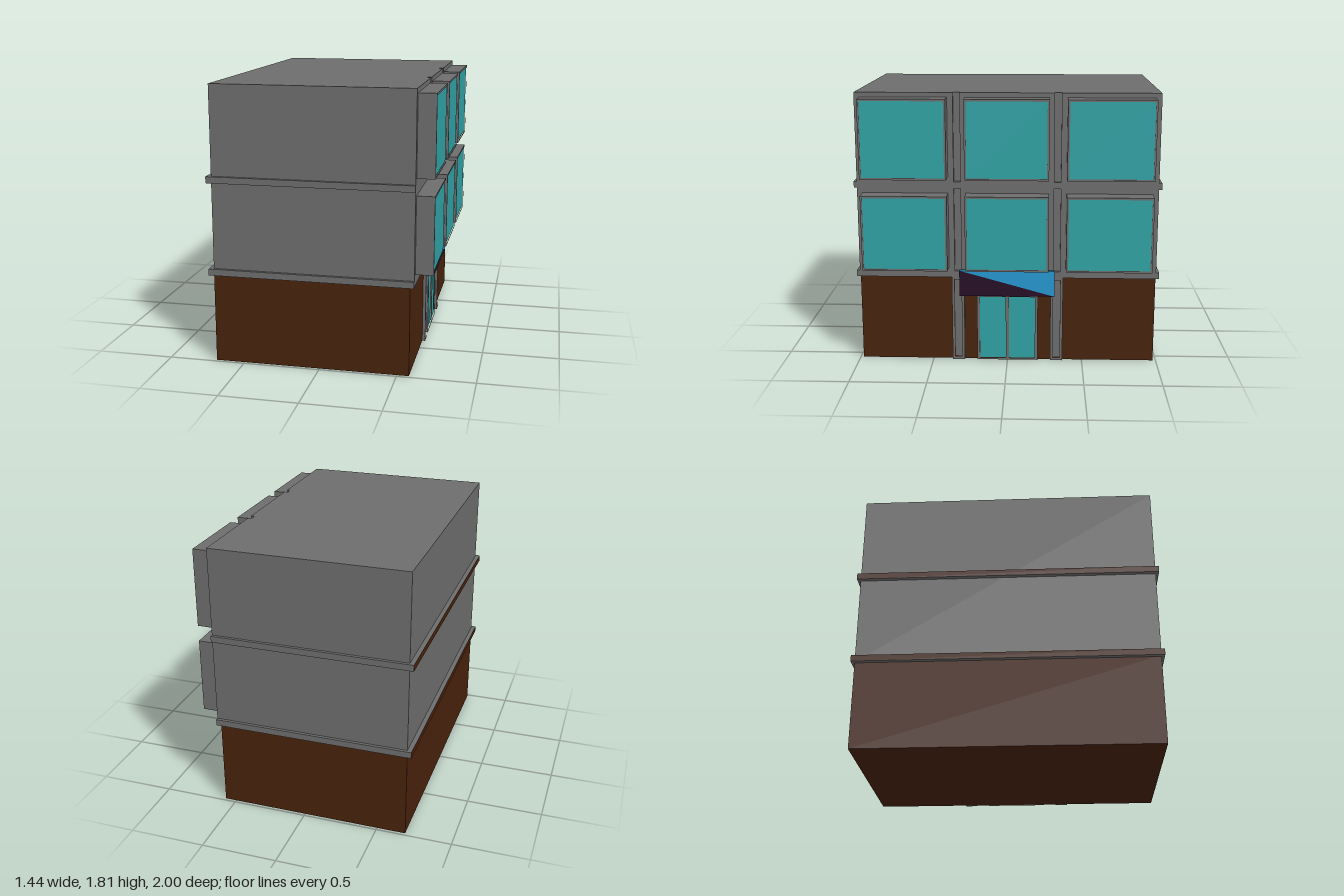
import * as THREE from 'three';

const mat = (name, color) => {
  const m = new THREE.MeshStandardMaterial({ color });
  m.name = name;
  return m;
};

export function createModel() {
  const concrete = mat('grey concrete', 0x6d6d6d);
  const brick = mat('brown brick', 0x48220d);
  const glass = mat('teal glass', 0x2fa2a4);
  const blue = mat('sign blue', 0x2496d0);
  const plum = mat('sign dark plum', 0x260e26);

  const model = new THREE.Group();
  model.name = 'building';

  const add = (name, geometry, material) => {
    const mesh = new THREE.Mesh(geometry, material);
    mesh.name = name;
    model.add(mesh);
    return mesh;
  };

  // Box given by its limits on each axis
  const box = (name, material, x0, x1, y0, y1, z0, z1) => {
    const g = new THREE.BoxGeometry(x1 - x0, y1 - y0, z1 - z0);
    g.translate((x0 + x1) / 2, (y0 + y1) / 2, (z0 + z1) / 2);
    return add(name, g, material);
  };

  // Outline of [z, y] points pushed out along +x
  const toPoints = (pts) => pts.map(([z, y]) => new THREE.Vector2(-z, y));
  const plate = (name, material, x0, x1, outline, holes = []) => {
    const shape = new THREE.Shape(toPoints(outline));
    holes.forEach((h) => shape.holes.push(new THREE.Path(toPoints(h))));
    const g = new THREE.ExtrudeGeometry(shape, { depth: x1 - x0, bevelEnabled: false });
    g.rotateY(Math.PI / 2).translate(x0, 0, 0);
    return add(name, g, material);
  };
  const rect = (z0, z1, y0, y1) => [[z0, y0], [z1, y0], [z1, y1], [z0, y1]];

  const wall = 0.577; // facade wall plane

  // Main volumes
  box('groundFloor', brick, -0.69, wall, 0, 0.59, -0.98, 0.98);
  box('upperFloors', concrete, -0.69, wall, 0.59, 1.805, -0.98, 0.98);

  // Floor bands, brown on the rear edge
  for (const y of [0.582, 1.184]) {
    box('floorBand', [concrete, brick, concrete, concrete, concrete, concrete],
      -0.72, 0.602, y, y + 0.042, -1, 1);
  }

  // Facade panels with protruding bay windows
  const panels = [[-0.98, -0.348], [-0.304, 0.304], [0.348, 0.98]];
  const bays = [[-0.942, -0.385], [-0.27, 0.27], [0.385, 0.942]];
  const floors = [
    { panel: [0.624, 1.184], bay: [0.655, 1.152] },
    { panel: [1.226, 1.805], bay: [1.258, 1.775] },
  ];
  for (const { panel, bay } of floors) {
    panels.forEach(([z0, z1]) => box('facadePanel', concrete, wall, 0.602, ...panel, z0, z1));
    bays.forEach(([z0, z1]) => {
      const [y0, y1] = bay;
      const t = 0.013;
      box('bayBox', concrete, wall, 0.705, y0, y1, z0, z1);
      plate('bayFrame', concrete, 0.705, 0.716, rect(z0, z1, y0, y1),
        [rect(z0 + t, z1 - t, y0 + t, y1 - t)]);
      box('bayGlass', glass, 0.705, 0.711, y0 + t, y1 - t, z0 + t, z1 - t);
    });
  }

  // Entrance pilasters with a sunken centre
  for (const s of [-1, 1]) {
    const c = s * 0.328;
    plate('pilasterFrame', concrete, wall, 0.597, rect(c - 0.041, c + 0.041, 0, 0.582),
      [rect(c - 0.023, c + 0.023, 0.02, 0.565)]);
    box('pilasterPanel', concrete, wall, 0.581, 0.02, 0.565, c - 0.023, c + 0.023);
  }

  // Double door
  const leaves = [[-0.184, -0.011], [0.011, 0.184]];
  plate('doorFrame', concrete, wall, 0.594, rect(-0.203, 0.203, 0, 0.464),
    leaves.map(([z0, z1]) => rect(z0, z1, 0.012, 0.444)));
  leaves.forEach(([z0, z1]) => box('doorGlass', glass, wall, 0.585, 0.012, 0.444, z0, z1));

  // Two-tone sign above the door
  plate('signLower', plum, 0.62, 0.648, [[0.315, 0.64], [0.315, 0.467], [-0.312, 0.467]]);
  plate('signUpper', blue, 0.62, 0.648, [[0.315, 0.64], [-0.312, 0.467], [-0.312, 0.64]]);

  return model;
}
